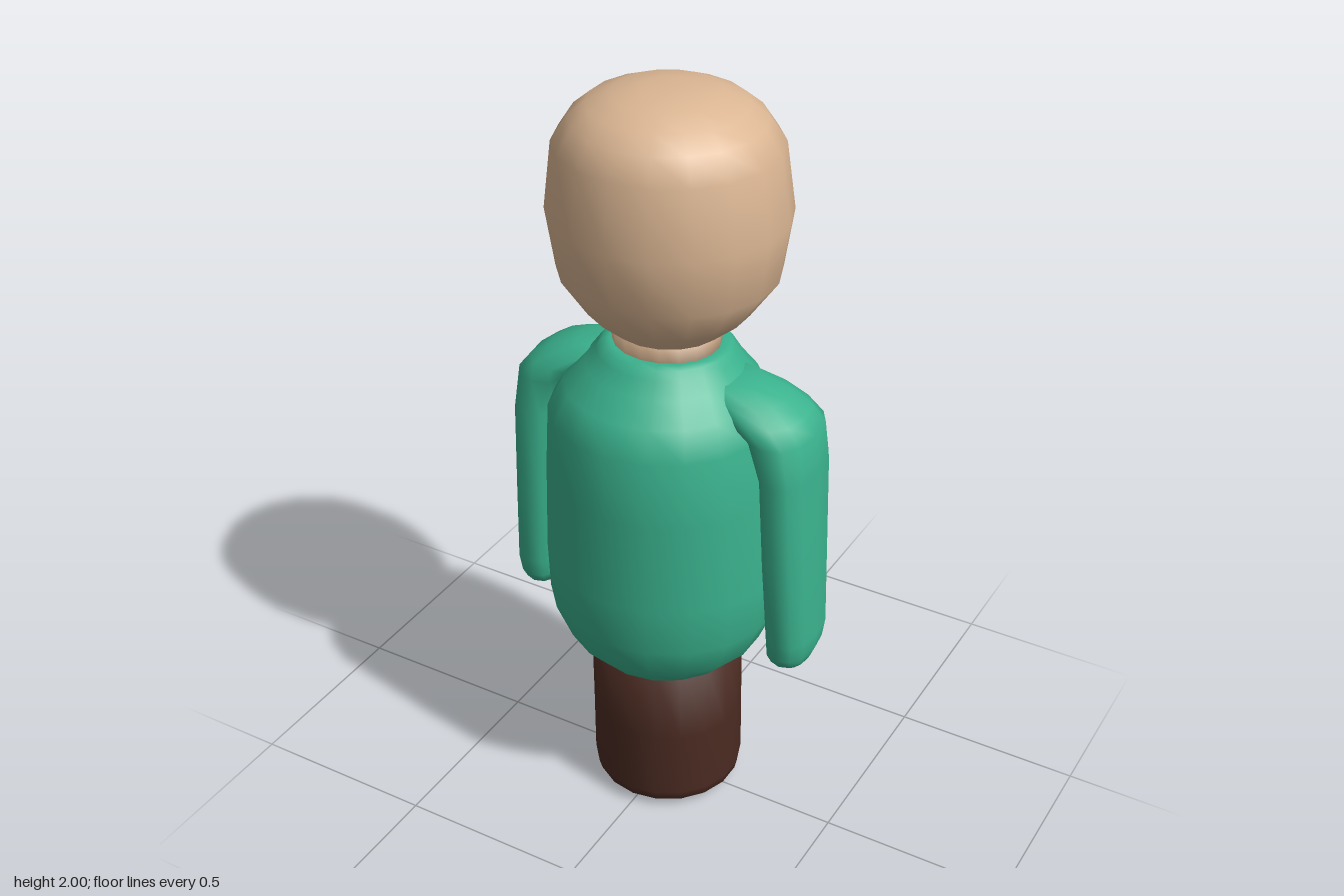
import * as THREE from 'three';

const skin = new THREE.MeshStandardMaterial({ color: 0xdbb693 });
skin.name = 'skin';
const green = new THREE.MeshStandardMaterial({ color: 0x3ab28d });
green.name = 'green shirt';
const brown = new THREE.MeshStandardMaterial({ color: 0x4b2b22 });
brown.name = 'brown trousers';

// Smooth closed skin over rounded rings, bottom to top: [y, rx, rz, cx, cz]
function loft(name, material, rings, sides = 18, power = 2) {
  const all = [rings[0], ...rings, rings[rings.length - 1]];
  const pos = [], index = [];
  const bend = (v) => Math.sign(v) * Math.abs(v) ** (2 / power);
  all.forEach(([y, rx, rz, cx = 0, cz = 0], i) => {
    const s = i === 0 || i === all.length - 1 ? 0 : 1; // end rings close to a point
    for (let j = 0; j < sides; j++) {
      const a = Math.PI / 2 + (j / sides) * Math.PI * 2;
      pos.push(cx + s * rx * bend(Math.cos(a)), y, cz + s * rz * bend(Math.sin(a)));
    }
  });
  for (let i = 0; i < all.length - 1; i++) {
    for (let j = 0; j < sides; j++) {
      const a = i * sides + j, b = i * sides + (j + 1) % sides;
      if (i < all.length - 2) index.push(a, a + sides, b + sides);
      if (i > 0) index.push(a, b + sides, b);
    }
  }
  const geometry = new THREE.BufferGeometry();
  geometry.setAttribute('position', new THREE.Float32BufferAttribute(pos, 3));
  geometry.setIndex(index);
  geometry.computeVertexNormals();
  const mesh = new THREE.Mesh(geometry, material);
  mesh.name = name;
  return mesh;
}

export function createModel() {
  const model = new THREE.Group();
  model.name = 'figure';

  // Joined legs with a rounded foot edge
  model.add(loft('legs', brown, [
    [0.005, 0.15, 0.15, 0, -0.01], [0.012, 0.175, 0.175, 0, -0.01],
    [0.03, 0.193, 0.195, 0, -0.01], [0.06, 0.2, 0.203, 0, -0.008],
    [0.25, 0.2, 0.2, 0, -0.005], [0.48, 0.2, 0.198],
  ]));

  // Barrel-shaped torso, tucked in at the waist and collar
  model.add(loft('torso', green, [
    [0.45, 0.19, 0.195], [0.46, 0.205, 0.207], [0.52, 0.26, 0.25, 0, 0.01],
    [0.62, 0.303, 0.288, 0, 0.01], [0.75, 0.308, 0.291, 0, 0.01],
    [1.0, 0.3, 0.288, 0, 0.012], [1.18, 0.285, 0.28, 0, 0.02],
    [1.25, 0.25, 0.24, 0, 0.015], [1.3, 0.2, 0.195, 0, 0.005],
    [1.335, 0.175, 0.17], [1.355, 0.16, 0.155], [1.36, 0.14, 0.135],
  ]));

  // Arms blending into the shoulders
  for (const side of [1, -1]) {
    const rings = [
      [0.53, 0.03, 0.06, 0.382, -0.01], [0.542, 0.048, 0.085, 0.37, -0.01],
      [0.57, 0.058, 0.1, 0.37, -0.01], [0.62, 0.062, 0.108, 0.372, -0.01],
      [0.85, 0.065, 0.118, 0.36, -0.01], [1.1, 0.067, 0.125, 0.349, -0.01],
      [1.2, 0.08, 0.125, 0.324, -0.01], [1.24, 0.1, 0.115, 0.273, -0.01],
      [1.275, 0.11, 0.095, 0.215, -0.01], [1.305, 0.09, 0.065, 0.16, -0.01],
    ].map(([y, rx, rz, cx, cz]) => [y, rx, rz, cx * side, cz]);
    model.add(loft(side > 0 ? 'leftArm' : 'rightArm', green, rings, 12, 2.4));
  }

  // Neck
  model.add(loft('neck', skin, [[1.33, 0.136, 0.126], [1.42, 0.136, 0.126]]));

  // Egg-shaped head with a flattened crown
  model.add(loft('head', skin, [
    [1.385, 0.11, 0.11, 0, -0.005], [1.4, 0.14, 0.135, 0, -0.005],
    [1.455, 0.205, 0.2, 0, -0.008], [1.55, 0.272, 0.265, 0, -0.012],
    [1.7, 0.294, 0.29, 0, -0.012], [1.87, 0.272, 0.268, 0, -0.008],
    [1.93, 0.232, 0.23, 0, -0.006], [1.965, 0.19, 0.188, 0, -0.005],
    [1.99, 0.13, 0.13, 0, -0.005], [2.0, 0.065, 0.065, 0, -0.005],
  ]));

  return model;
}
